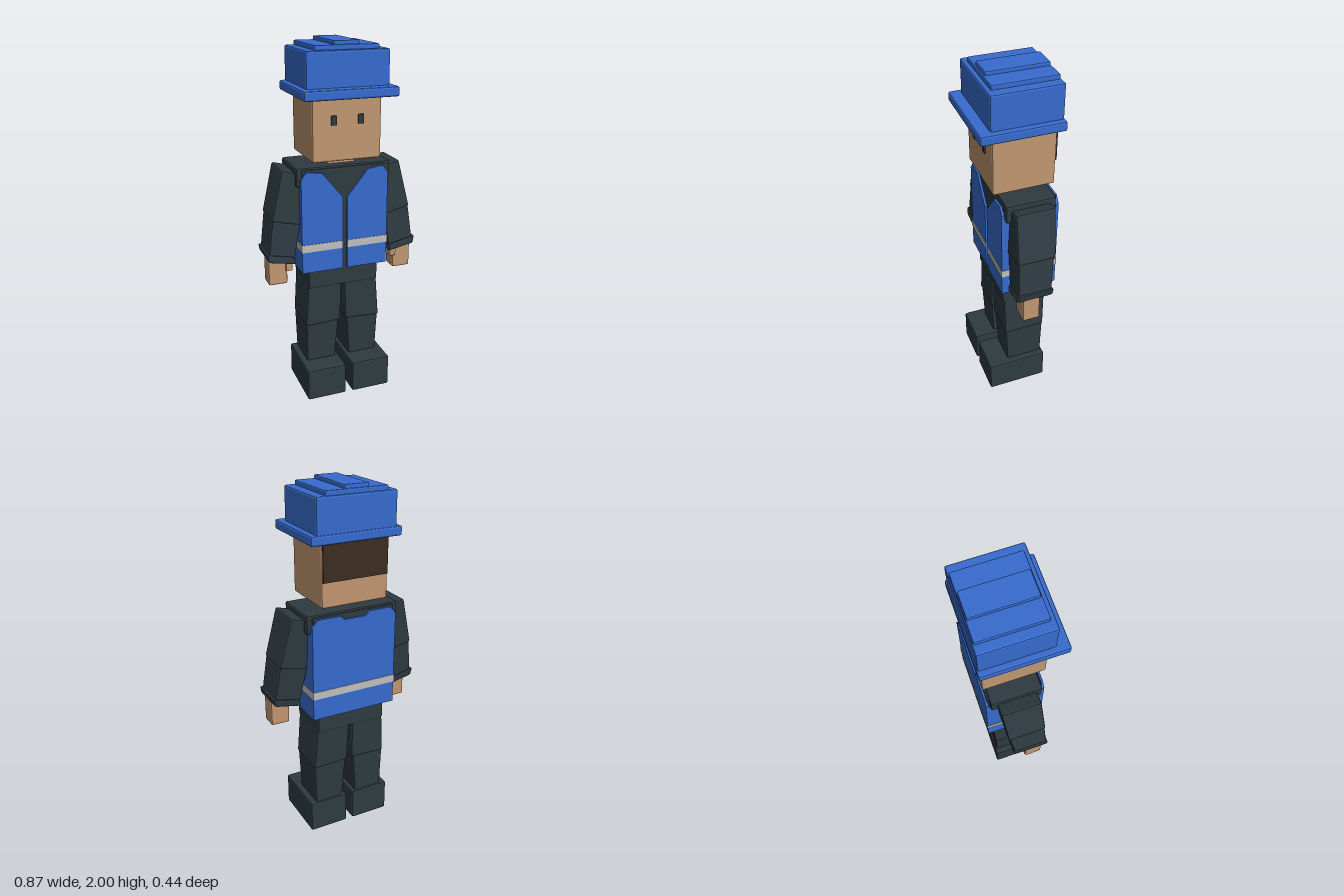
import * as THREE from 'three';
import { RoundedBoxGeometry } from 'three/addons/geometries/RoundedBoxGeometry.js';

function material(name, color) {
  const m = new THREE.MeshStandardMaterial({ color });
  m.name = name;
  return m;
}

export function createModel() {
  const model = new THREE.Group();
  model.name = 'worker';
  const blue = material('blue', 0x376bce);
  const dark = material('dark slate', 0x2e3b41);
  const skin = material('skin', 0xc09670);
  const grey = material('reflective grey', 0xbfbfbc);
  const brown = material('hair brown', 0x3b2d21);

  function add(name, geometry, mat) {
    const mesh = new THREE.Mesh(geometry, mat);
    mesh.name = name;
    model.add(mesh);
    return mesh;
  }

  // Bevelled block between two end sections: [x0, x1, z0, z1, y at x0, y at x1]
  function limb(name, mat, bottom, top, r = 0.01) {
    const w = (bottom[1] - bottom[0] + top[1] - top[0]) / 2;
    const d = (bottom[3] - bottom[2] + top[3] - top[2]) / 2;
    const h = (top[4] + top[5] - bottom[4] - bottom[5]) / 2;
    const g = new RoundedBoxGeometry(w, h, d, 1, r);
    const p = g.attributes.position;
    const mix = THREE.MathUtils.lerp;
    for (let i = 0; i < p.count; i++) {
      const u = p.getX(i) / w + 0.5, v = p.getY(i) / h + 0.5, t = p.getZ(i) / d + 0.5;
      const at = (a, b, k) => mix(mix(bottom[a], bottom[b], k), mix(top[a], top[b], k), v);
      p.setXYZ(i, at(0, 1, u), at(4, 5, u), at(2, 3, t));
    }
    g.computeVertexNormals();
    return add(name, g, mat);
  }
  const block = (name, mat, x0, x1, y0, y1, z0, z1, r) =>
    limb(name, mat, [x0, x1, z0, z1, y0, y0], [x0, x1, z0, z1, y1, y1], r);

  // Sharp thin plate
  function plate(name, mat, x0, x1, y0, y1, z0, z1) {
    const g = new THREE.BoxGeometry(x1 - x0, y1 - y0, z1 - z0);
    add(name, g, mat).position.set((x0 + x1) / 2, (y0 + y1) / 2, (z0 + z1) / 2);
  }

  // Flat panel cut from an outline
  function panel(name, mat, points, z, depth) {
    const shape = new THREE.Shape(points.map(([x, y]) => new THREE.Vector2(x, y)));
    add(name, new THREE.ExtrudeGeometry(shape, { depth, bevelEnabled: false }), mat).position.z = z;
  }

  // Hard hat
  block('hatBrim', blue, -0.257, 0.257, 1.72, 1.772, -0.222, 0.22);
  block('hatCrown', blue, -0.226, 0.226, 1.76, 1.956, -0.217, 0.16);
  block('hatRidgeWide', blue, -0.175, 0.175, 1.93, 1.98, -0.21, 0.137, 0.007);
  block('hatRidgeNarrow', blue, -0.069, 0.069, 1.95, 2.0, -0.205, 0.129, 0.007);

  // Head
  block('head', skin, -0.191, 0.191, 1.388, 1.74, -0.197, 0.14);
  block('neck', skin, -0.08, 0.08, 1.33, 1.4, -0.11, 0.053);
  plate('hair', brown, -0.186, 0.186, 1.525, 1.722, -0.204, -0.195);

  // Torso and hips
  block('torso', dark, -0.24, 0.24, 0.772, 1.345, -0.189, 0.103, 0.008);
  block('shoulders', dark, -0.267, 0.267, 1.252, 1.356, -0.177, 0.096);
  block('hips', dark, -0.205, 0.205, 0.655, 0.79, -0.17, 0.094);

  // Vest back with neck notch
  panel('vestBack', blue, [
    [-0.248, 0.765], [0.248, 0.765], [0.248, 1.295], [0.218, 1.335], [0.085, 1.335],
    [0.065, 1.312], [-0.065, 1.312], [-0.085, 1.335], [-0.218, 1.335], [-0.248, 1.295],
  ], -0.2, 0.016);
  plate('vestStripeBack', grey, -0.251, 0.251, 0.887, 0.93, -0.203, -0.198);

  for (const s of [1, -1]) {
    const side = s > 0 ? 'left' : 'right';
    const mirror = ([x0, x1, z0, z1, y0, y1]) => s > 0 ? [x0, x1, z0, z1, y0, y1] : [-x1, -x0, z0, z1, y1, y0];
    const part = (name, mat, bottom, top, r) => limb(side + name, mat, mirror(bottom), mirror(top), r);
    const box = (name, mat, x0, x1, y0, y1, z0, z1, r) =>
      part(name, mat, [x0, x1, z0, z1, y0, y0], [x0, x1, z0, z1, y1, y1], r);
    const flat = (name, mat, x0, x1, ...rest) =>
      plate(side + name, mat, s > 0 ? x0 : -x1, s > 0 ? x1 : -x0, ...rest);

    // Face and vest
    flat('Eye', dark, 0.059, 0.09, 1.58, 1.63, 0.139, 0.147);
    panel(side + 'VestFront', blue, [
      [0.013, 0.765], [0.248, 0.765], [0.248, 1.295], [0.218, 1.335], [0.132, 1.325], [0.013, 1.18],
    ].map(([x, y]) => [x * s, y]), 0.1, 0.015);
    flat('VestSide', blue, 0.232, 0.248, 0.765, 1.27, -0.19, 0.105);
    flat('VestStripeFront', grey, 0.013, 0.251, 0.887, 0.93, 0.113, 0.118);
    flat('VestStripeSide', grey, 0.246, 0.251, 0.887, 0.93, -0.2, 0.115);

    // Arm
    part('UpperArm', dark, [0.235, 0.402, -0.127, 0.08, 1.033, 1.072], [0.18, 0.336, -0.145, 0.068, 1.302, 1.344]);
    part('Forearm', dark, [0.285, 0.429, -0.1, 0.085, 0.82, 0.855], [0.243, 0.398, -0.122, 0.077, 1.04, 1.078]);
    part('Cuff', dark, [0.276, 0.43, -0.106, 0.094, 0.815, 0.845], [0.284, 0.439, -0.111, 0.09, 0.86, 0.892]);
    box('Hand', skin, 0.318, 0.425, 0.696, 0.86, -0.037, 0.06);
    box('Thumb', skin, 0.292, 0.33, 0.775, 0.85, 0.02, 0.074, 0.006);

    // Leg
    part('Thigh', dark, [0.016, 0.223, -0.152, 0.086, 0.428, 0.418], [0.008, 0.203, -0.163, 0.083, 0.7, 0.7]);
    part('Shin', dark, [0.045, 0.212, -0.146, 0.066, 0.16, 0.16], [0.024, 0.22, -0.15, 0.08, 0.435, 0.425]);
    box('Boot', dark, 0.02, 0.25, 0, 0.187, -0.157, 0.19);
  }
  return model;
}
